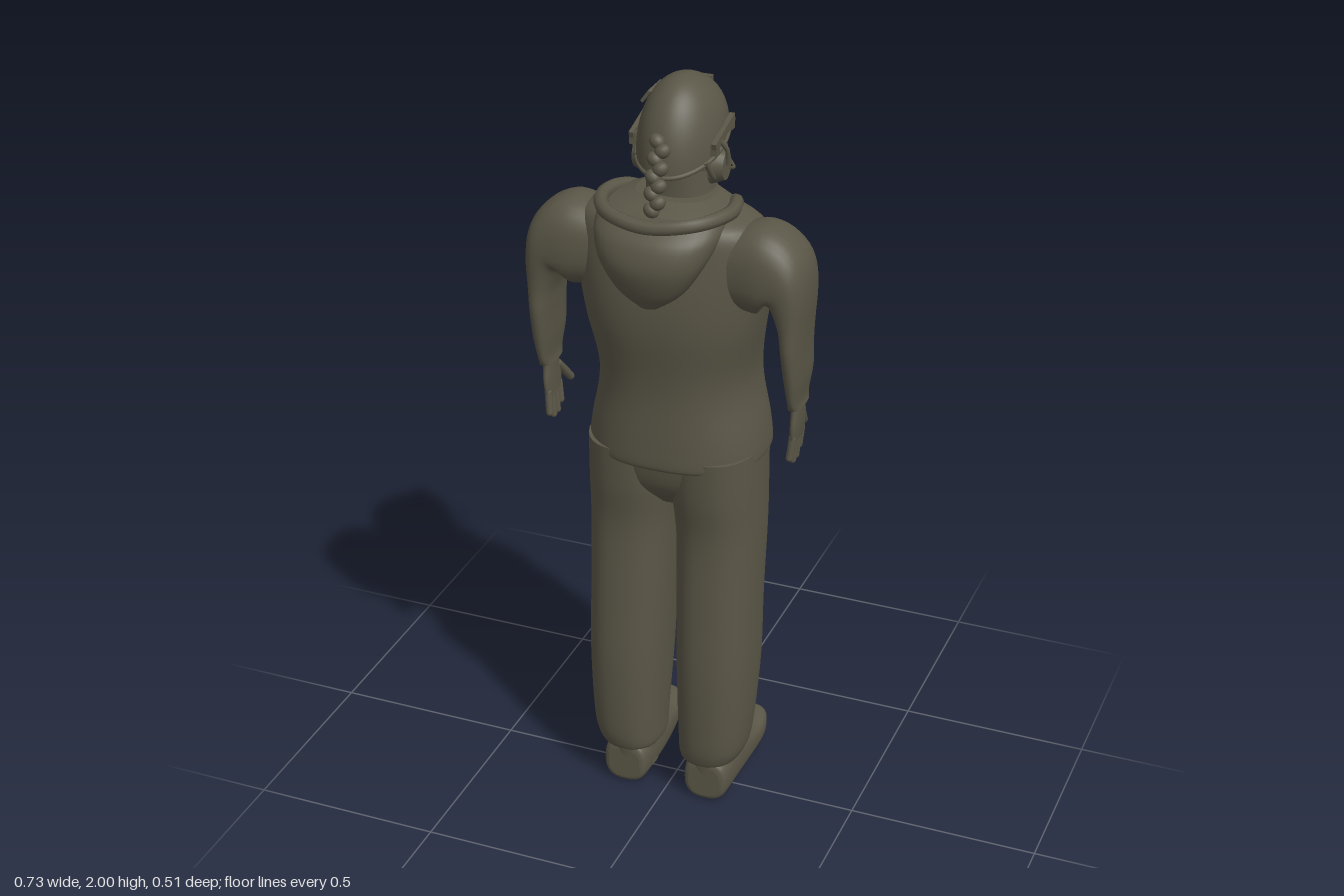
import * as THREE from 'three';

const fabric = new THREE.MeshStandardMaterial({ color: 0x5a5647 });
fabric.name = 'olive fabric';
const shell = new THREE.MeshStandardMaterial({ color: 0x5a5647, side: THREE.DoubleSide });
shell.name = 'olive shell';
const yellow = new THREE.MeshStandardMaterial({ color: 0x8c8a12, side: THREE.DoubleSide });
yellow.name = 'yellow lens';

const V = (x, y, z) => new THREE.Vector3(x, y, z);

function add(parent, name, geometry, material = fabric) {
  const mesh = new THREE.Mesh(geometry, material);
  mesh.name = name;
  parent.add(mesh);
  return mesh;
}

// Smooth skin over superellipse rings: [x, y, z, radiusU, radiusZ, tilt in degrees]
function loft(rows, power = 2.3, n = 32, sub = 5) {
  const mix = (i, t, k) => {
    const at = q => rows[Math.min(Math.max(q, 0), rows.length - 1)][k] || 0;
    const [a, b, c, d] = [at(i - 1), at(i), at(i + 1), at(i + 2)];
    const m1 = (c - a) / 2, m2 = (d - b) / 2;
    return b + m1 * t + (3 * (c - b) - 2 * m1 - m2) * t * t + (2 * (b - c) + m1 + m2) * t * t * t;
  };
  const pos = [], idx = [], steps = (rows.length - 1) * sub;
  const bend = v => Math.sign(v) * Math.pow(Math.abs(v), 2 / power);
  const ring = s => {
    const i = Math.min(Math.floor(s / sub), rows.length - 2), t = s / sub - i;
    const [x, y, z, ru, rz, deg] = [0, 1, 2, 3, 4, 5].map(k => mix(i, t, k));
    const tilt = deg * Math.PI / 180;
    for (let j = 0; j < n; j++) {
      const a = j / n * Math.PI * 2, u = ru * bend(Math.cos(a));
      pos.push(x + u * Math.cos(tilt), y + u * Math.sin(tilt), z + rz * bend(Math.sin(a)));
    }
    return [x, y, z];
  };
  for (let s = 0; s <= steps; s++) ring(s);
  for (let s = 0; s < steps; s++) for (let j = 0; j < n; j++) {
    const a = s * n + j, b = s * n + (j + 1) % n, c = a + n, d = b + n;
    idx.push(a, c, b, b, c, d);
  }
  for (const s of [0, steps]) {
    const base = pos.length / 3;
    pos.push(...ring(s));
    for (let j = 0; j < n; j++) {
      const a = base + j, b = base + (j + 1) % n;
      idx.push(base + n, s ? b : a, s ? a : b);
    }
  }
  const g = new THREE.BufferGeometry();
  g.setAttribute('position', new THREE.Float32BufferAttribute(pos, 3));
  g.setIndex(idx);
  g.computeVertexNormals();
  return g;
}

function tube(points, r, closed = false) {
  return new THREE.TubeGeometry(new THREE.CatmullRomCurve3(points, closed), points.length * 8, r, 8, closed);
}

function finger(parent, name, a, b, r) {
  const m = add(parent, name, new THREE.CapsuleGeometry(r, a.distanceTo(b), 4, 10));
  m.position.copy(a).lerp(b, 0.5);
  m.quaternion.setFromUnitVectors(V(0, 1, 0), b.clone().sub(a).normalize());
}

// One arm, hand, leg and shoe on the +x side
function buildLimbs() {
  const g = new THREE.Group();
  add(g, 'sleeve', loft([
    [0.17, 1.57, 0.045, 0.10, 0.09, -90], [0.24, 1.575, 0.045, 0.115, 0.10, -95],
    [0.285, 1.56, 0.045, 0.10, 0.10, -115], [0.315, 1.53, 0.045, 0.06, 0.097, -145],
    [0.327, 1.45, 0.045, 0.035, 0.09, -174], [0.33, 1.38, 0.045, 0.027, 0.087, -180],
    [0.332, 1.30, 0.035, 0.023, 0.08, -180], [0.332, 1.24, 0.035, 0.016, 0.062, -180],
    [0.332, 1.215, 0.032, 0.018, 0.052, -180]], 2.5));
  add(g, 'palm', loft([
    [0.329, 1.12, 0.028, 0.009, 0.042], [0.331, 1.16, 0.03, 0.012, 0.046],
    [0.332, 1.20, 0.032, 0.013, 0.038], [0.332, 1.23, 0.033, 0.013, 0.034]], 2.3, 20));
  [1.075, 1.06, 1.062, 1.08].forEach((tip, i) => {
    const z = 0.061 - i * 0.022;
    finger(g, 'finger', V(0.329, 1.13, z), V(0.324, tip, z * 1.05 + 0.002), 0.0095);
  });
  finger(g, 'thumb', V(0.328, 1.185, 0.0), V(0.318, 1.125, -0.052), 0.011);

  add(g, 'trouserLeg', loft([
    [0.11, 0.12, 0.025, 0.068, 0.09], [0.113, 0.135, 0.025, 0.083, 0.10],
    [0.12, 0.20, 0.025, 0.093, 0.11], [0.122, 0.40, 0.01, 0.103, 0.13],
    [0.12, 0.60, 0, 0.106, 0.13], [0.118, 0.80, -0.015, 0.11, 0.135],
    [0.112, 0.93, -0.015, 0.115, 0.15], [0.11, 1.05, -0.015, 0.115, 0.16]], 2.4));
  add(g, 'shoeShaft', loft([[0.112, 0.04, 0.03, 0.062, 0.066], [0.11, 0.17, 0.025, 0.058, 0.083]]));
  const shoe = loft([
    [0.115, -0.1, 0.06, 0.045, 0.045], [0.115, -0.085, 0.065, 0.06, 0.062],
    [0.115, 0, 0.075, 0.067, 0.067], [0.118, 0.08, 0.07, 0.067, 0.056],
    [0.122, 0.15, 0.06, 0.062, 0.042], [0.125, 0.20, 0.06, 0.056, 0.039],
    [0.125, 0.24, 0.067, 0.044, 0.031], [0.125, 0.256, 0.074, 0.024, 0.016]], 2.7);
  shoe.rotateX(-Math.PI / 2);
  add(g, 'shoe', shoe);

  // Helmet side rail, ear cup and chin strap
  const cup = add(g, 'earCup', new THREE.CylinderGeometry(0.03, 0.042, 0.035, 20));
  cup.rotation.z = -Math.PI / 2;
  cup.scale.x = 1.15;
  cup.position.set(0.1, 1.785, -0.025);
  const rail = add(g, 'helmetRail', new THREE.BoxGeometry(0.012, 0.022, 0.13));
  rail.position.set(0.106, 1.868, -0.03);
  rail.rotation.x = 0.28;
  for (const z of [-0.08, 0.02]) {
    const clip = add(g, 'railClip', new THREE.BoxGeometry(0.016, 0.03, 0.022));
    clip.position.set(0.104, 1.85 - z * 0.3, z);
  }
  add(g, 'cupArm', tube([V(0.108, 1.86, 0.0), V(0.122, 1.83, -0.015), V(0.118, 1.79, -0.025)], 0.006));
  add(g, 'chinStrap', tube([V(0.1, 1.83, -0.06), V(0.09, 1.76, -0.08), V(0.06, 1.71, -0.115), V(0, 1.70, -0.145)], 0.006));
  add(g, 'rearStrap', tube([V(0.09, 1.82, 0.05), V(0.096, 1.76, 0.0), V(0.09, 1.74, -0.07)], 0.006));
  return g;
}

function buildHead(body) {
  add(body, 'neck', loft([[0, 1.64, -0.02, 0.1, 0.1], [0, 1.69, -0.03, 0.088, 0.09], [0, 1.8, -0.02, 0.075, 0.08]]));
  add(body, 'neckScarf', tube([V(0, 1.685, 0.06), V(0.09, 1.685, -0.02), V(0, 1.675, -0.125), V(-0.09, 1.685, -0.02)], 0.018, true));
  add(body, 'maskedHead', loft([
    [0, 1.69, -0.06, 0.05, 0.065], [0, 1.725, -0.06, 0.074, 0.095],
    [0, 1.80, -0.047, 0.086, 0.112], [0, 1.88, -0.04, 0.088, 0.118], [0, 1.95, -0.035, 0.06, 0.08]]));
  const nose = add(body, 'nose', new THREE.SphereGeometry(0.018, 16, 12));
  nose.scale.set(0.9, 1.3, 1);
  nose.position.set(0, 1.805, -0.157);

  // Helmet dome with a rim that drops toward the back
  const rim = z => 1.836 - 0.047 * z;
  const dome = new THREE.SphereGeometry(1, 48, 20, 0, Math.PI * 2, 0, Math.PI / 2);
  const p = dome.attributes.position;
  for (let i = 0; i < p.count; i++) {
    const x = p.getX(i), y = p.getY(i), z = p.getZ(i);
    p.setXYZ(i, x * 0.106, rim(z) + y * (2 - rim(z)), -0.035 + z * 0.148);
  }
  dome.computeVertexNormals();
  add(body, 'helmet', dome, shell);
  const edge = [];
  for (let i = 0; i < 16; i++) {
    const a = i / 16 * Math.PI * 2;
    edge.push(V(Math.sin(a) * 0.105, rim(Math.cos(a)), -0.035 + Math.cos(a) * 0.147));
  }
  add(body, 'helmetRim', tube(edge, 0.006, true));
  add(body, 'frontMount', new THREE.BoxGeometry(0.04, 0.045, 0.014)).position.set(0, 1.925, -0.178);
  const patch = add(body, 'topStrip', new THREE.BoxGeometry(0.035, 0.008, 0.08));
  patch.position.set(-0.08, 1.945, -0.033);
  patch.rotation.z = 0.95;

  // Goggles wrapped round the face
  const band = (r, h, half) => new THREE.CylinderGeometry(r, r, h, 32, 1, true, Math.PI - half, half * 2);
  const place = m => { m.position.set(0, 1.84, -0.055); m.scale.set(0.9, 1, 1.1); };
  place(add(body, 'goggleFrame', band(0.104, 0.068, 1.35), shell));
  place(add(body, 'goggleLens', band(0.107, 0.046, 1.0), yellow));

  // Microphone boom and braided ponytail
  add(body, 'microphoneBoom', tube([V(0.115, 1.775, -0.04), V(0.1, 1.745, -0.12), V(0.05, 1.75, -0.185)], 0.004));
  add(body, 'microphone', new THREE.SphereGeometry(0.011, 12, 8)).position.set(0.045, 1.752, -0.19);
  for (let i = 0; i < 9; i++) {
    const knot = add(body, 'braidKnot', new THREE.SphereGeometry(0.021, 14, 10));
    knot.position.set(i % 2 ? 0.008 : -0.008, 1.88 - i * 0.02, 0.108 + 0.04 * Math.sin(i / 8 * 1.5));
    knot.rotation.z = i % 2 ? 0.6 : -0.6;
    knot.scale.set(1, 0.85, 0.85);
  }
}

export function createModel() {
  const body = new THREE.Group();
  body.name = 'standingFigure';

  add(body, 'jacket', loft([
    [0, 1.02, -0.03, 0.226, 0.188], [0, 1.035, -0.03, 0.23, 0.194], [0, 1.10, -0.03, 0.222, 0.193],
    [0, 1.20, -0.03, 0.202, 0.19], [0, 1.28, -0.025, 0.202, 0.19], [0, 1.40, 0, 0.225, 0.182],
    [0, 1.50, 0, 0.242, 0.183], [0, 1.60, 0.012, 0.248, 0.158], [0, 1.665, 0.03, 0.23, 0.125],
    [0, 1.695, 0.025, 0.175, 0.105], [0, 1.72, 0, 0.1, 0.085]], 2.4, 48));
  add(body, 'trouserSeat', loft([
    [0, 0.88, -0.015, 0.06, 0.08], [0, 0.95, -0.015, 0.16, 0.14], [0, 1.05, -0.015, 0.215, 0.16]], 2.5));

  // Hood hanging on the back, with its rolled edge meeting in a V at the chest
  add(body, 'hood', loft([
    [0, 1.485, 0.18, 0.025, 0.02], [0, 1.53, 0.175, 0.085, 0.055], [0, 1.60, 0.165, 0.132, 0.085],
    [0, 1.66, 0.125, 0.158, 0.112], [0, 1.695, 0.085, 0.162, 0.118]], 2.2));
  const half = [V(0.11, 1.71, 0.175), V(0.162, 1.71, 0.08), V(0.145, 1.70, -0.02), V(0.085, 1.645, -0.105)];
  const mirrored = half.map(v => V(-v.x, v.y, v.z)).reverse();
  add(body, 'hoodEdge', tube([V(0, 1.70, 0.205), ...half, V(0, 1.575, -0.15), ...mirrored], 0.018, true));
  add(body, 'zip', new THREE.BoxGeometry(0.012, 0.05, 0.012)).position.set(0, 1.535, -0.178);

  buildHead(body);
  for (const side of [1, -1]) {
    const limbs = buildLimbs();
    limbs.name = side > 0 ? 'leftLimbs' : 'rightLimbs';
    limbs.scale.x = side;
    body.add(limbs);
  }
  return body;
}
